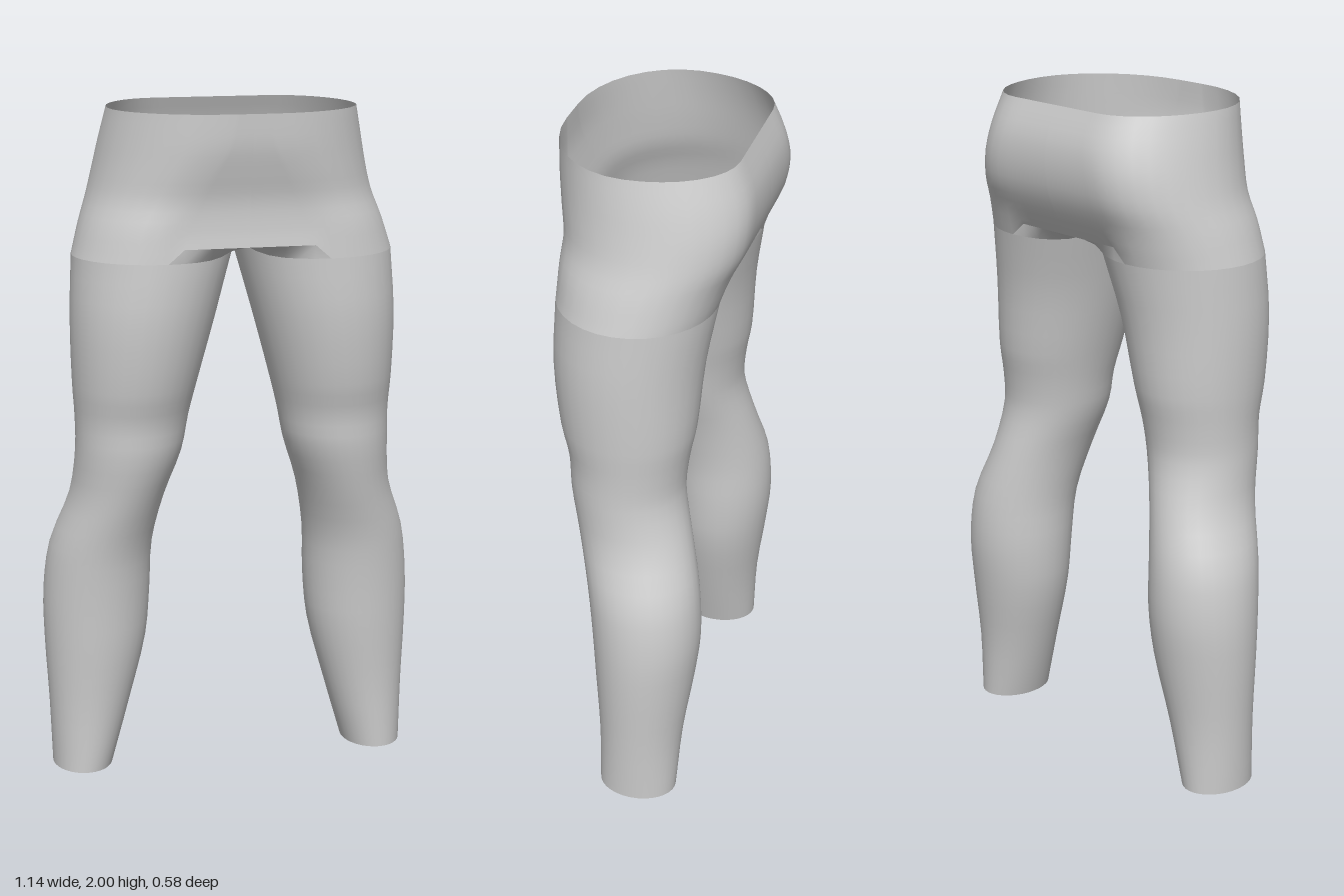
import * as THREE from 'three';

const Q = 8; // segments per quarter turn
const CROTCH = 1.62, SPLIT = 1.58;

const fabric = new THREE.MeshStandardMaterial({ color: 0xcccccc, side: THREE.DoubleSide });
fabric.name = 'grey fabric';

// Leg sections: y, outer x, inner x, front z, back z
const LEG = [
  [0, 0.55, 0.37, 0.085, -0.15],
  [0.2, 0.557, 0.312, 0.09, -0.163],
  [0.4, 0.567, 0.26, 0.105, -0.192],
  [0.55, 0.567, 0.246, 0.115, -0.208],
  [0.7, 0.547, 0.24, 0.132, -0.2],
  [0.86, 0.49, 0.208, 0.17, -0.165],
  [1.0, 0.475, 0.16, 0.2, -0.135],
  [1.1, 0.475, 0.14, 0.207, -0.142],
  [1.2, 0.481, 0.115, 0.232, -0.16],
  [1.4, 0.485, 0.06, 0.256, -0.176],
  [SPLIT, 0.476, 0, 0.255, -0.205],
];

// Hip sections: y, half width, front z, back z, flat half width at front and back
const HIPS = [
  [SPLIT, 0.476, 0.255, -0.205, 0.238, 0.238],
  [1.67, 0.45, 0.25, -0.237, 0.22, 0.225],
  [1.75, 0.422, 0.25, -0.275, 0.17, 0.21],
  [1.83, 0.402, 0.268, -0.288, 0.12, 0.2],
  [1.91, 0.385, 0.285, -0.28, 0.07, 0.18],
  [2, 0.365, 0.29, -0.245, 0.05, 0.17],
];

function legRing([y, outer, inner, zf, zb], side) {
  const ring = [];
  for (let i = 0; i < 4 * Q; i++) {
    const a = (i / (2 * Q)) * Math.PI;
    const x = (outer + inner) / 2 + ((outer - inner) / 2) * Math.cos(a);
    const z = (zf + zb) / 2 + ((zf - zb) / 2) * Math.sin(a);
    // the inner thigh rises to the crotch
    const lift = y === SPLIT ? (CROTCH - SPLIT) * Math.max(0, -Math.cos(a)) ** 6 : 0;
    ring.push(new THREE.Vector3(side * x, y + lift, z));
  }
  return side > 0 ? ring : ring.reverse();
}

function hipRing([y, w, zf, zb, xf, xb]) {
  const half = [];
  const mid = (zf + zb) / 2, rz = (zf - zb) / 2;
  // from back centre around the left side to front centre
  for (let i = -2 * Q; i <= 2 * Q; i++) {
    const a = (i / (2 * Q)) * Math.PI;
    const flat = i < 0 ? xb : xf;
    if (Math.abs(i) <= Q) {
      half.push(new THREE.Vector3(flat + (w - flat) * Math.cos(a), y, mid + rz * Math.sin(a)));
    } else {
      const yy = y === SPLIT ? CROTCH : y;
      half.push(new THREE.Vector3(flat * (1 + Math.cos(a)), yy, i < 0 ? zb : zf));
    }
  }
  const other = half.slice(1, -1).reverse().map((p) => new THREE.Vector3(-p.x, p.y, p.z));
  return half.concat(other);
}

// Skin over rings of equal length
function skin(rings, closed) {
  const n = rings[0].length, index = [];
  for (let r = 0; r < rings.length - 1; r++) {
    for (let j = 0; j < (closed ? n : n - 1); j++) {
      const k = (j + 1) % n;
      const a = r * n + j, b = r * n + k, c = a + n, d = b + n;
      index.push(a, c, b, b, c, d);
    }
  }
  const g = new THREE.BufferGeometry().setFromPoints(rings.flat());
  g.setIndex(index);
  g.computeVertexNormals();
  return g;
}

// Smooth the rings lengthwise with a curve through each column
function smoothRings(rings, steps) {
  const curves = rings[0].map((_, j) => new THREE.CatmullRomCurve3(rings.map((r) => r[j])));
  return Array.from({ length: steps + 1 }, (_, i) => curves.map((c) => c.getPoint(i / steps)));
}

// Underside between the hip panel edge and the top of one thigh
function gusset(side, front) {
  const [y, outer, , zf, zb] = LEG[LEG.length - 1];
  const edge = [], thigh = [];
  for (let i = Q; i <= 2 * Q; i++) {
    const a = (i / (2 * Q)) * Math.PI, c = Math.cos(a);
    const x = (side * outer * (1 + c)) / 2;
    const s = front ? Math.sin(a) : -Math.sin(a);
    edge.push(new THREE.Vector3(x, i === Q ? y : CROTCH, front ? zf : zb));
    thigh.push(new THREE.Vector3(x, y + (CROTCH - y) * Math.max(0, -c) ** 6,
      (zf + zb) / 2 + ((zf - zb) / 2) * s));
  }
  // keep the face pointing down on every side
  return skin((side > 0) === front ? [thigh, edge] : [edge, thigh], false);
}

export function createModel() {
  const model = new THREE.Group();
  model.name = 'leggings';
  const add = (name, geometry) => {
    const mesh = new THREE.Mesh(geometry, fabric);
    mesh.name = name;
    model.add(mesh);
  };

  add('hips', skin(smoothRings(HIPS.map(hipRing), 15), true));
  for (const side of [1, -1]) {
    const label = side > 0 ? 'left' : 'right';
    add(label + 'Leg', skin(smoothRings(LEG.map((s) => legRing(s, side)), 30), true));
    add(label + 'FrontGusset', gusset(side, true));
    add(label + 'BackGusset', gusset(side, false));
  }
  return model;
}
